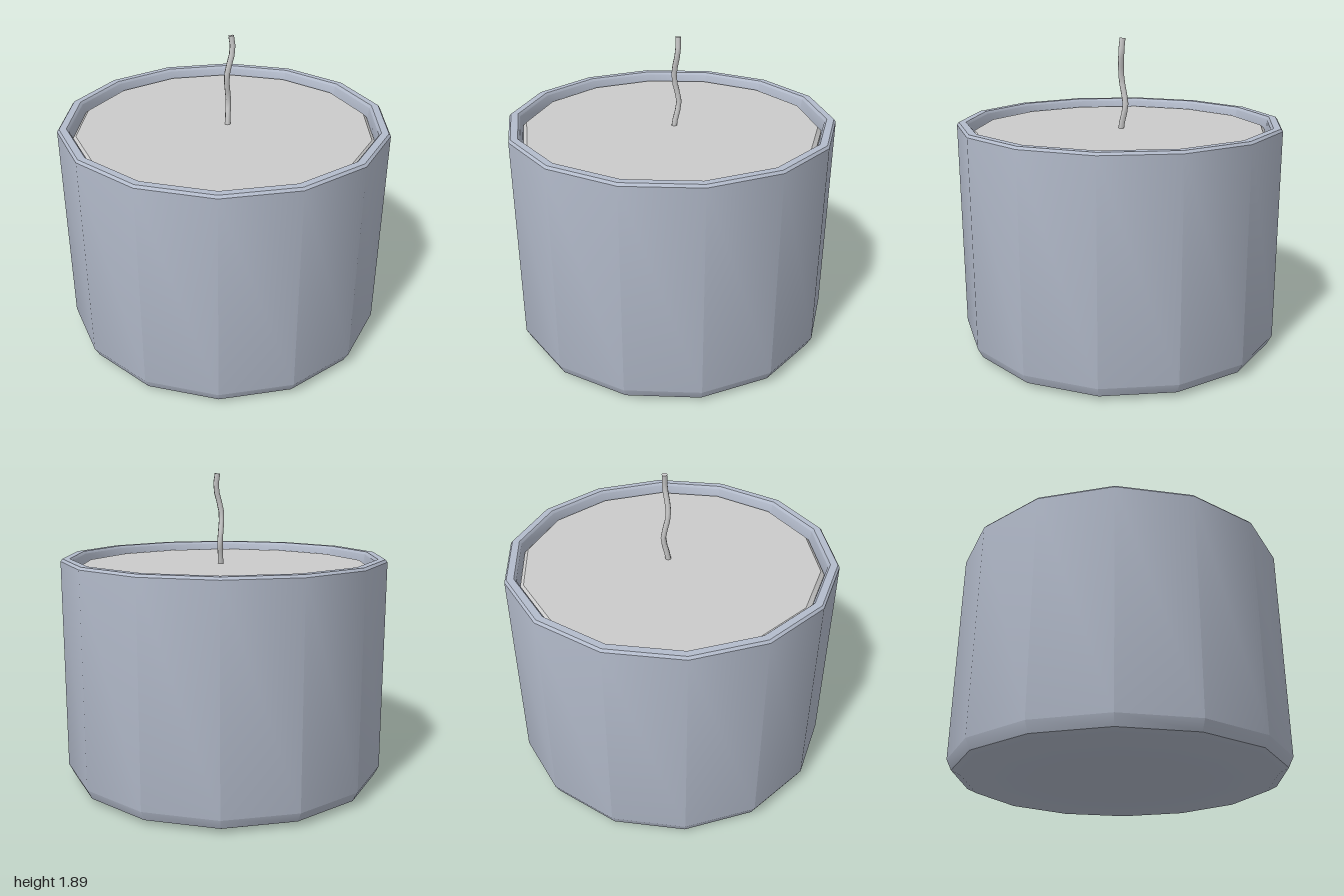
import * as THREE from 'three';
import { toCreasedNormals } from 'three/addons/utils/BufferGeometryUtils.js';

const SIDES = 14;

// Revolve a bottom-to-top [radius, y] profile with a corner on the x axis
function turned(name, profile, material) {
  const points = profile.map(([r, y]) => new THREE.Vector2(r, y));
  const lathe = new THREE.LatheGeometry(points, SIDES, Math.PI / 2);
  const mesh = new THREE.Mesh(toCreasedNormals(lathe, 0.6), material);
  mesh.name = name;
  return mesh;
}

export function createModel() {
  const group = new THREE.Group();
  group.name = 'candle';
  const jarMaterial = new THREE.MeshStandardMaterial({ color: 0xb4bccc });
  const grey = new THREE.MeshStandardMaterial({ color: 0xcccccc });

  // Jar: chamfered foot, straight wall, bevelled rim, hollow inside
  group.add(turned('jar', [
    [0, 0], [0.91, 0], [0.97, 0.03], [1, 0.09],
    [1, 1.375], [0.988, 1.39], [0.945, 1.39], [0.932, 1.375],
    [0.922, 1.28], [0.922, 0.1], [0, 0.1],
  ], jarMaterial));

  // Wax fill with a softened top edge
  group.add(turned('wax', [
    [0, 0.1], [0.918, 0.1], [0.918, 1.315], [0.895, 1.338], [0, 1.34],
  ], grey));

  // Wick: thin, gently bent cord with a closed tip
  const wick = new THREE.Group();
  wick.name = 'wick';
  const path = new THREE.CatmullRomCurve3([
    [0.022, 1.32, 0.005], [0.03, 1.39, -0.003], [0.045, 1.48, -0.018],
    [0.02, 1.65, 0], [0.053, 1.81, 0.012], [0.048, 1.89, 0.003],
  ].map((p) => new THREE.Vector3(...p)));
  const radius = 0.018;
  const cord = new THREE.Mesh(new THREE.TubeGeometry(path, 10, radius, 6), grey);
  cord.name = 'wickCord';
  const tip = new THREE.Mesh(new THREE.CircleGeometry(radius, 6), grey);
  tip.name = 'wickTip';
  tip.position.copy(path.getPoint(1));
  tip.lookAt(tip.position.clone().add(path.getTangent(1)));
  wick.add(cord, tip);
  group.add(wick);

  return group;
}
